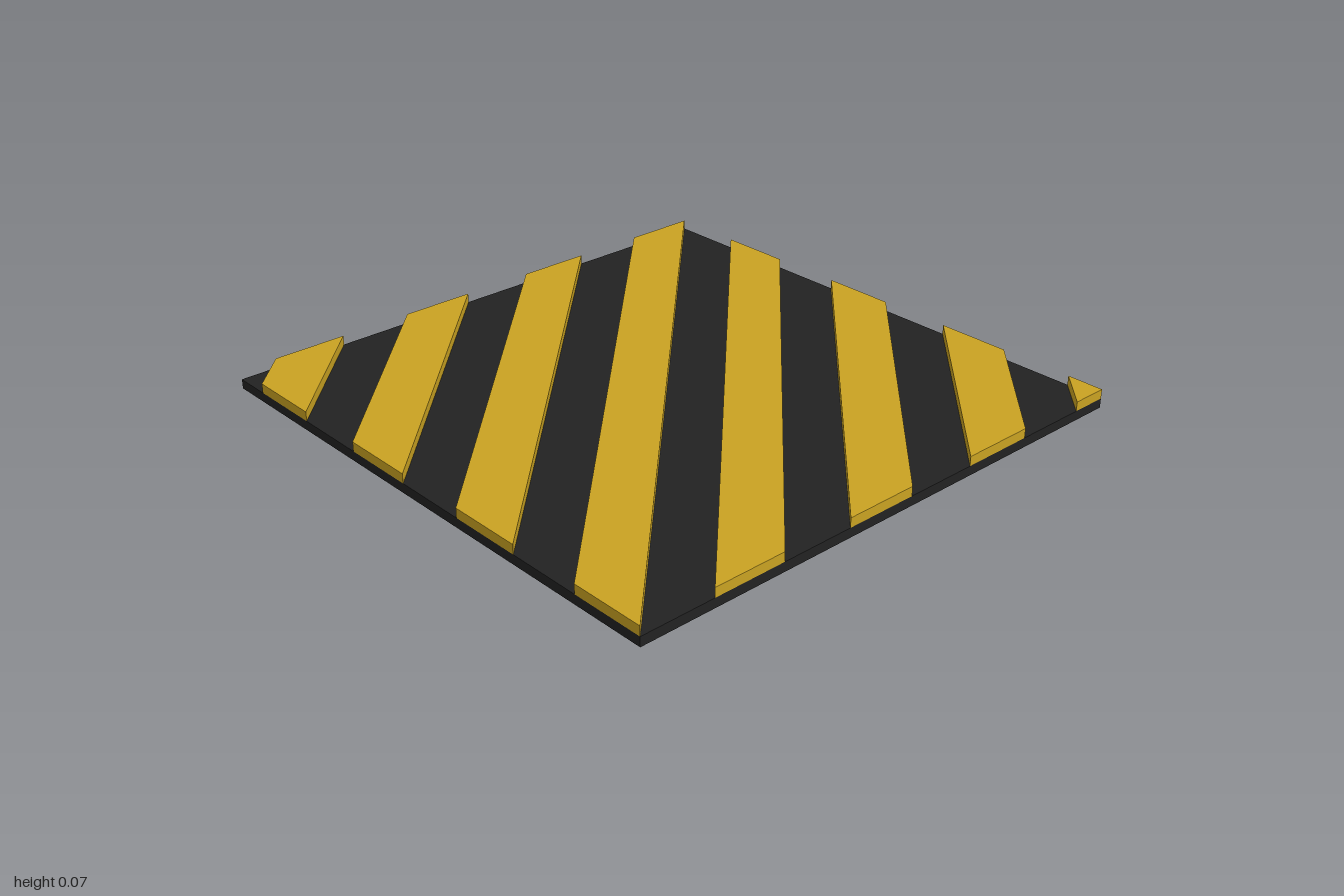
import * as THREE from 'three';

const THICK = 1 / 30;       // thickness of the base and of the raised stripes
const WIDTH = 4 / 15;       // stripe width measured along an edge

// The two points where the diagonal x + z = c meets the edges of the square
function diagonalEnds(c) {
  return c <= 0
    ? [[-1, c + 1], [c + 1, -1]]
    : [[c - 1, 1], [1, c - 1]];
}

// Raised diagonal band between x + z = a and x + z = b
function stripeGeometry(a, b) {
  const [a0, a1] = diagonalEnds(a);
  const [b0, b1] = diagonalEnds(b);
  const outline = b > 1.999 ? [a0, a1, [1, 1]] : [a0, a1, b1, b0];
  const shape = new THREE.Shape(outline.map(([x, z]) => new THREE.Vector2(x, -z)));
  const geometry = new THREE.ExtrudeGeometry(shape, { depth: THICK, bevelEnabled: false });
  return geometry.rotateX(-Math.PI / 2);
}

export function createModel() {
  const black = new THREE.MeshStandardMaterial({ name: 'black', color: 0x222222 });
  const yellow = new THREE.MeshStandardMaterial({ name: 'hazardYellow', color: 0xc9a222 });

  const model = new THREE.Group();
  model.name = 'hazardFloorTile';

  // Base plate
  const base = new THREE.Mesh(new THREE.BoxGeometry(2, THICK, 2), black);
  base.name = 'basePlate';
  base.position.y = THICK / 2;
  model.add(base);

  // Diagonal stripes, the last one cut off by the corner
  const stripes = new THREE.Group();
  stripes.name = 'stripes';
  for (let i = 0; i < 8; i++) {
    const start = -7 * WIDTH + 2 * WIDTH * i;
    const end = Math.min(start + WIDTH, 2);
    const stripe = new THREE.Mesh(stripeGeometry(start, end), yellow);
    stripe.name = `stripe${i + 1}`;
    stripe.position.y = THICK;
    stripes.add(stripe);
  }
  model.add(stripes);

  return model;
}
